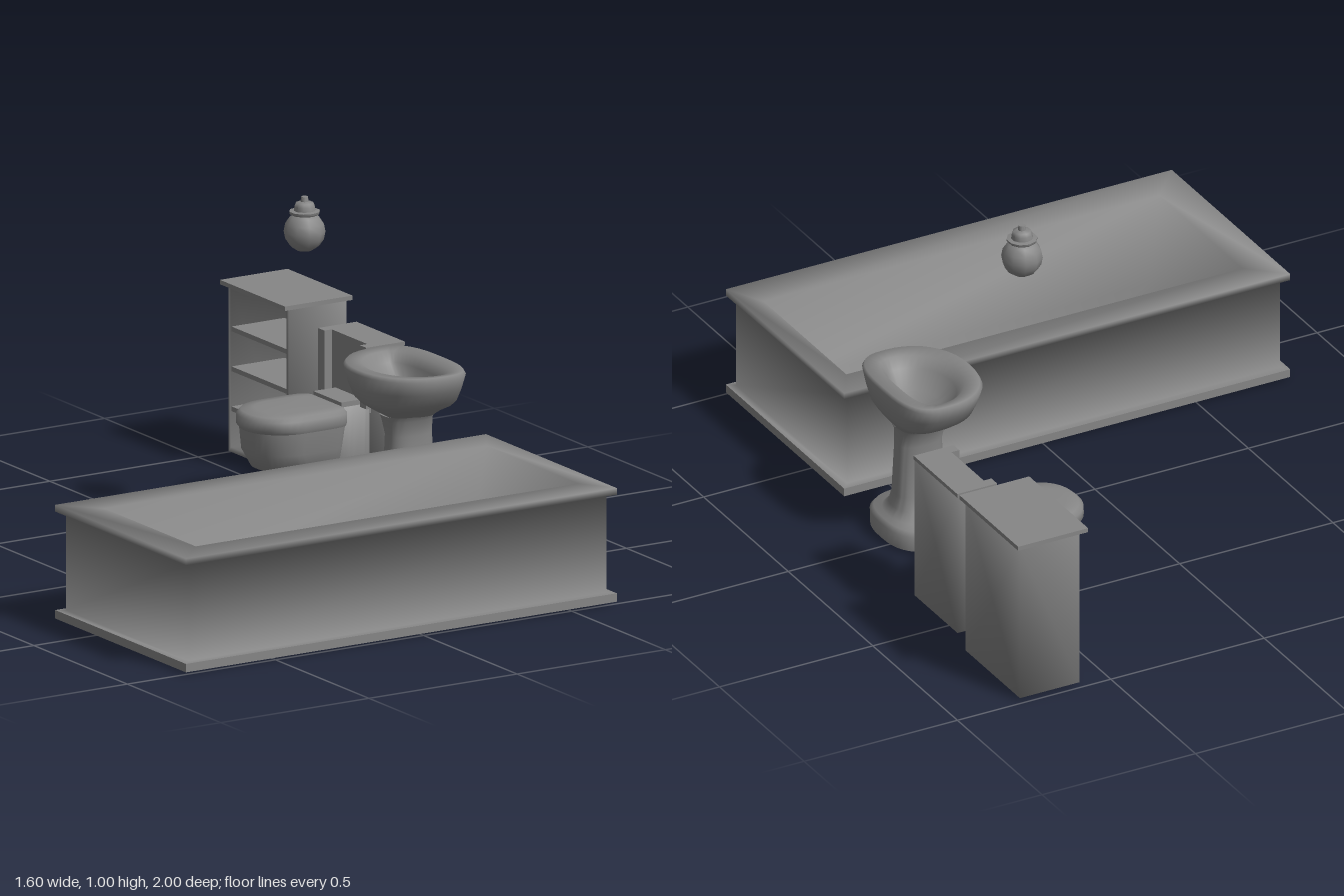
import * as THREE from 'three';
import { toCreasedNormals } from 'three/addons/utils/BufferGeometryUtils.js';

const material = new THREE.MeshStandardMaterial({ color: 0x868686, side: THREE.DoubleSide });
const SOFT = 2; // crease angle that also rounds the shading over square edges

// Skins a stack of closed rings, each an array of [x, y, z]
function loft(rings, crease = SOFT) {
  const n = rings[0].length, index = [];
  for (let i = 0; i < rings.length - 1; i++) {
    for (let j = 0; j < n; j++) {
      const k = (j + 1) % n;
      const a = i * n + j, b = i * n + k, c = a + n, d = b + n;
      index.push(a, c, b, b, c, d);
    }
  }
  const g = new THREE.BufferGeometry();
  g.setAttribute('position', new THREE.Float32BufferAttribute(rings.flat(2), 3));
  g.setIndex(index);
  return toCreasedNormals(g, crease);
}

// Rectangular rings, level at y or upright at x
const rect = (y, x0, x1, z0, z1) => [[x1, y, z0], [x1, y, z1], [x0, y, z1], [x0, y, z0]];
const rectX = (x, y0, y1, z0, z1) => [[x, y0, z1], [x, y1, z1], [x, y1, z0], [x, y0, z0]];

// Ring with separate front (-x) and back (+x) reach and squareness
function oval(y, cx, cz, front, back, half, power = 2, frontPower = 2, n = 40) {
  return Array.from({ length: n }, (_, i) => {
    const t = i / n * Math.PI * 2, c = Math.cos(t), s = Math.sin(t);
    const e = 2 / (c > 0 ? power : frontPower);
    return [
      cx + Math.sign(c) * Math.abs(c) ** e * (c > 0 ? back : front),
      y,
      cz + Math.sign(s) * Math.abs(s) ** e * half,
    ];
  });
}

function add(parent, name, geometry) {
  const mesh = new THREE.Mesh(geometry, material);
  mesh.name = name;
  parent.add(mesh);
  return mesh;
}

// Box given by its limits
function box(parent, name, x0, x1, y0, y1, z0, z1) {
  const mesh = add(parent, name, new THREE.BoxGeometry(x1 - x0, y1 - y0, z1 - z0));
  mesh.position.set((x0 + x1) / 2, (y0 + y1) / 2, (z0 + z1) / 2);
}

function group(root, name) {
  const g = new THREE.Group();
  g.name = name;
  root.add(g);
  return g;
}

function bathtub(root) {
  const g = group(root, 'bathtub');
  // Flat underside and plinth edge
  add(g, 'tubPlinth', loft([
    rect(0.006, -0.075, -0.075, 0.65, 0.65),
    rect(0.006, -0.802, 0.652, 0.3, 1),
    rect(0.031, -0.802, 0.652, 0.3, 1),
  ], 0.5));
  // Side walls, broad rim and steep basin in one soft skin
  add(g, 'tubShell', loft([
    rect(0.031, -0.802, 0.652, 0.3, 1),
    rect(0.033, -0.78, 0.63, 0.322, 0.98),
    rect(0.32, -0.78, 0.63, 0.322, 0.98),
    rect(0.322, -0.802, 0.652, 0.3, 1),
    rect(0.342, -0.802, 0.652, 0.3, 1),
    rect(0.339, -0.7, 0.59, 0.4, 0.89),
    rect(0.07, -0.66, 0.52, 0.43, 0.87),
    rect(0.07, -0.07, -0.07, 0.65, 0.65),
  ]));
}

function sink(root) {
  const g = group(root, 'sink');
  add(g, 'sinkBasin', loft([
    oval(0.355, 0.57, 0.03, 0.08, 0.06, 0.06, 2.6),
    oval(0.375, 0.57, 0.03, 0.115, 0.075, 0.09, 2.8),
    oval(0.395, 0.57, 0.027, 0.145, 0.09, 0.135, 3, 2.2),
    oval(0.412, 0.57, 0.025, 0.16, 0.1, 0.157, 3, 2.2),
    oval(0.45, 0.57, 0.024, 0.173, 0.108, 0.178, 3, 2.2),
    oval(0.493, 0.57, 0.023, 0.18, 0.113, 0.198, 3, 2.2),
    oval(0.504, 0.57, 0.023, 0.173, 0.108, 0.19, 3, 2.2),
    oval(0.498, 0.575, 0.02, 0.135, 0.06, 0.155, 2.8),
    oval(0.47, 0.575, 0.02, 0.115, 0.045, 0.13, 2.6),
    oval(0.425, 0.58, 0.02, 0.075, 0.028, 0.085),
    oval(0.41, 0.58, 0.02, 0, 0, 0),
  ]));
  add(g, 'sinkPedestal', loft([
    oval(0, 0.55, 0.035, 0, 0, 0),
    oval(0.002, 0.55, 0.035, 0.09, 0.09, 0.1, 2.4, 2.4),
    oval(0.01, 0.55, 0.035, 0.14, 0.13, 0.146, 2.6, 2.6),
    oval(0.055, 0.55, 0.035, 0.14, 0.13, 0.149, 2.6, 2.6),
    oval(0.068, 0.55, 0.035, 0.13, 0.12, 0.138, 2.6, 2.6),
    oval(0.075, 0.55, 0.035, 0.11, 0.105, 0.105, 2.4, 2.4),
    oval(0.1, 0.555, 0.035, 0.09, 0.085, 0.076, 2.4, 2.4),
    oval(0.14, 0.56, 0.034, 0.078, 0.075, 0.058, 2.4, 2.4),
    oval(0.3, 0.56, 0.032, 0.072, 0.07, 0.046, 2.4, 2.4),
    oval(0.345, 0.56, 0.03, 0.08, 0.07, 0.056, 2.4, 2.4),
    oval(0.36, 0.565, 0.03, 0.09, 0.07, 0.065, 2.4, 2.4),
  ], 1.2));
}

function toilet(root) {
  const g = group(root, 'toilet'), z = -0.435;
  add(g, 'toiletFoot', loft([
    oval(0.006, 0.46, z, 0, 0, 0),
    oval(0.006, 0.46, z, 0.15, 0.2, 0.1, 3),
    oval(0.02, 0.46, z, 0.15, 0.2, 0.1, 3),
    oval(0.032, 0.48, z, 0.12, 0.18, 0.08, 3),
    oval(0.06, 0.53, z, 0.08, 0.13, 0.065, 3),
    oval(0.11, 0.53, z, 0.1, 0.13, 0.075, 3),
  ], 1.2));
  add(g, 'toiletBowl', loft([
    oval(0.08, 0.5, z, 0, 0, 0),
    oval(0.085, 0.5, z, 0.09, 0.08, 0.07, 4),
    oval(0.12, 0.46, z, 0.125, 0.12, 0.097, 5),
    oval(0.17, 0.43, z, 0.122, 0.15, 0.112, 6),
    oval(0.235, 0.43, z, 0.128, 0.158, 0.119, 6),
  ], 1.2));
  add(g, 'toiletLid', loft([
    oval(0.235, 0.43, z, 0.128, 0.158, 0.119, 7),
    oval(0.245, 0.43, z, 0.134, 0.16, 0.123, 7, 2.2),
    oval(0.272, 0.43, z, 0.133, 0.16, 0.123, 7, 2.2),
    oval(0.284, 0.43, z, 0.12, 0.152, 0.113, 7, 2.2),
    oval(0.287, 0.43, z, 0.08, 0.12, 0.08, 7, 2.2),
    oval(0.288, 0.43, z, 0, 0, 0),
  ], 1));
  add(g, 'toiletNeck', loft([
    oval(0.07, 0.62, z, 0, 0, 0),
    oval(0.075, 0.62, z, 0.08, 0.06, 0.075, 6),
    oval(0.1, 0.62, z, 0.1, 0.065, 0.08, 6),
    oval(0.28, 0.62, z, 0.1, 0.065, 0.08, 6),
    oval(0.285, 0.62, z, 0, 0, 0),
  ]));
  box(g, 'hingeBlock', 0.58, 0.68, 0.25, 0.295, z - 0.075, z + 0.075);

  // Back panel to the floor, carrying a tank with a recessed front
  const z0 = z - 0.127, z1 = z + 0.127;
  add(g, 'backPanel', loft([
    rectX(0.685, 0.23, 0.23, z, z),
    rectX(0.685, 0.007, 0.455, z0, z1),
    rectX(0.758, 0.007, 0.455, z0, z1),
    rectX(0.758, 0.23, 0.23, z, z),
  ]));
  box(g, 'tank', 0.655, 0.69, 0.28, 0.455, z0, z1);
  box(g, 'tankTop', 0.655, 0.76, 0.45, 0.462, z0 - 0.002, z1 + 0.002);
  for (const s of [-1, 1]) {
    const a = z + s * 0.095, b = z + s * 0.129;
    box(g, 'tankLip', 0.63, 0.66, 0.28, 0.462, Math.min(a, b), Math.max(a, b));
  }
}

function cabinet(root) {
  const g = group(root, 'cabinet');
  const z0 = -0.985, z1 = -0.663, w = 0.012;
  box(g, 'cabinetTop', 0.574, 0.802, 0.5, 0.513, -1, -0.652);
  // Case with an open front and deep shelves
  add(g, 'cabinetCase', loft([
    rectX(0.775, 0.25, 0.25, -0.825, -0.825),
    rectX(0.775, 0.022, 0.49, z0 + w, z1 - w),
    rectX(0.594, 0.022, 0.49, z0 + w, z1 - w),
    rectX(0.594, 0.008, 0.502, z0, z1),
    rectX(0.788, 0.008, 0.502, z0, z1),
    rectX(0.788, 0.25, 0.25, -0.825, -0.825),
  ]));
  for (let i = 1; i < 4; i++) {
    const y = 0.01 + i * 0.118;
    box(g, 'shelf', 0.596, 0.775, y, y + 0.014, z0 + w, z1 - w);
  }
}

function lamp(root) {
  const g = group(root, 'lamp');
  g.position.set(0.302, 0, -0.116);
  const globe = add(g, 'lampGlobe', new THREE.SphereGeometry(0.06, 10, 8));
  globe.position.y = 0.898;
  const cap = [
    [0, 0.948], [0.04, 0.948], [0.045, 0.953], [0.045, 0.958], [0.032, 0.96],
    [0.03, 0.972], [0.026, 0.982], [0.012, 0.986], [0.01, 1], [0, 1.002],
  ].map(([r, y]) => new THREE.Vector2(r, y));
  add(g, 'lampCap', toCreasedNormals(new THREE.LatheGeometry(cap, 10), 1));
}

export function createModel() {
  const root = new THREE.Group();
  root.name = 'bathroomSet';
  for (const build of [bathtub, sink, toilet, cabinet, lamp]) build(root);
  return root;
}
